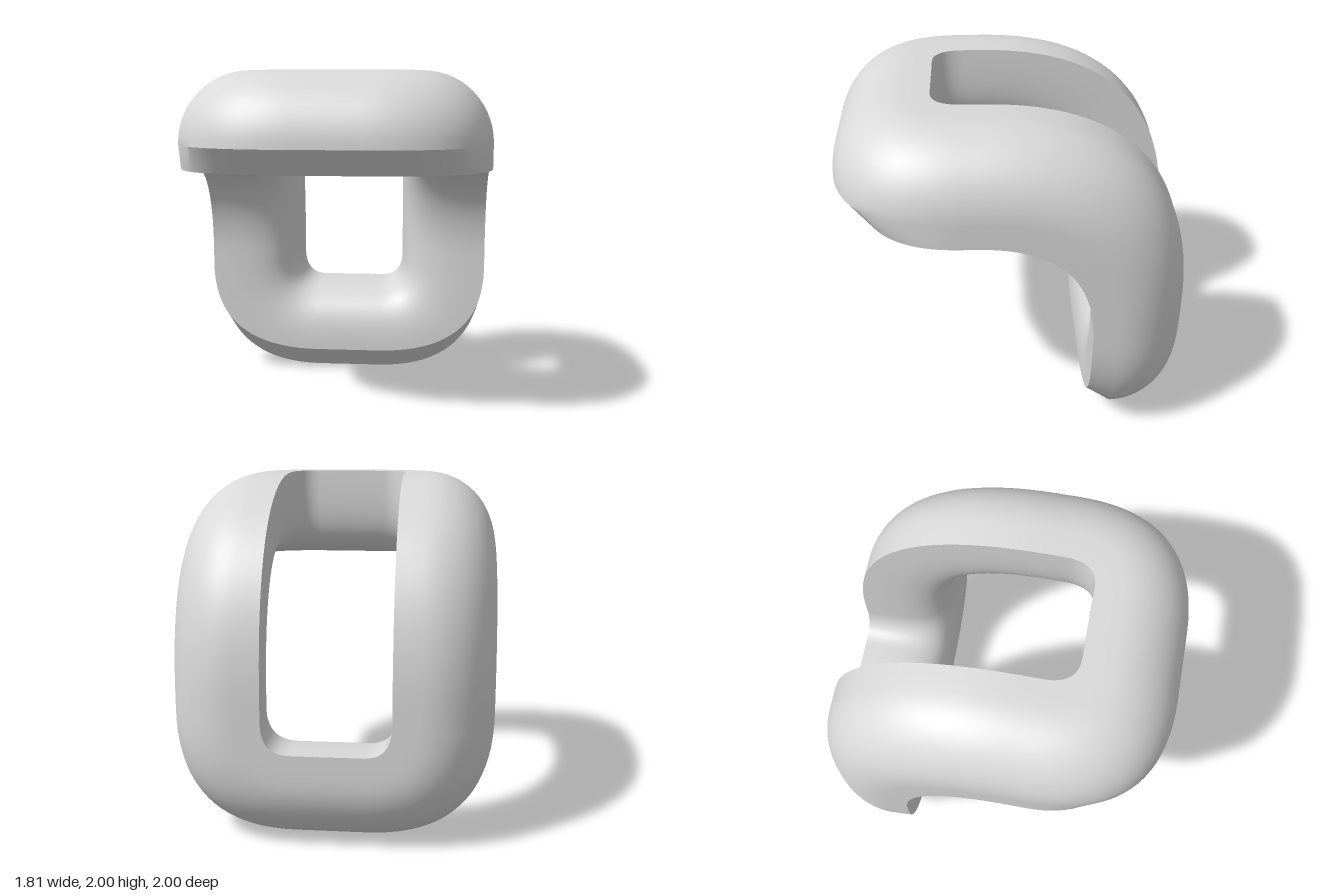
import * as THREE from 'three';
import { toCreasedNormals } from 'three/addons/utils/BufferGeometryUtils.js';

const lerp = THREE.MathUtils.lerp;
const quad = (a, b, c, t) => lerp(lerp(a, b, t), lerp(b, c, t), t);

// Cross-section of the loop: r runs from hole (0) to rim (1), w from outer face (0) to inner face (1)
function makeProfile() {
  const pts = [[0, 0], [0.13, 0]];
  const n = 14;
  for (let i = 0; i <= n; i++) { // large rounded outer rim
    const a = (i / n) * Math.PI / 2;
    pts.push([0.27 + 0.73 * Math.sin(a), 0.74 * (1 - Math.cos(a))]);
  }
  // Inner face rolls over softly into the hole wall: flat near both ends, tightest in the middle
  const ease = t => (t < 0.5 ? (4 / 3) * t ** 3 : 2 * t - 1 + (4 / 3) * (1 - t) ** 3);
  for (let i = 0; i < 24; i++) {
    const t = i / 24;
    pts.push([ease(1 - t), 1 - ease(t)]);
  }
  return pts;
}

function makeLoop() {
  const profile = makeProfile();
  const quarter = [];

  // Bent side arm, from the middle of the bend to the flat part
  for (let i = 0; i <= 16; i++) {
    const t = 0.5 + 0.5 * i / 16;
    const oz = quad(-1, -1, 0.15, t), oy = quad(0.85, 2, 2, t);
    const iz = quad(-0.44, -0.44, 0.2, t), iy = quad(0.8, 1.44, 1.44, t);
    quarter.push(profile.map(([r, w]) =>
      [lerp(0.353, 0.907, r), lerp(oy, iy, w), lerp(oz, iz, w)]));
  }

  // Rounded corner into the end bar; the lower rim tapers into a chamfer
  for (let i = 0; i <= 20; i++) {
    const t = i / 20;
    const hx = quad(0.353, 0.353, 0.2, t), hz = quad(0.26, 0.44, 0.44, t);
    const ex = quad(0.907, 0.907, 0.2, t);
    quarter.push(profile.map(([r, w]) => {
      const end = 1 - 0.14 * Math.max(0, (w - 0.74) / 0.26) * r;
      return [lerp(hx, ex, r), lerp(2, 1.44, w), lerp(hz, quad(0.28, end, end, t), r)];
    }));
  }

  // Mirror left/right and across the diagonal of the bend
  const flip = rings => rings.map(ring => ring.map(([x, y, z]) => [-x, y, z]));
  const swap = rings => rings.map(ring => ring.map(([x, y, z]) => [x, 1 - z, 1 - y]));
  const rings = [
    ...quarter,
    ...flip(quarter).reverse(),
    ...swap(flip(quarter)).slice(1),
    ...swap(quarter).reverse().slice(0, -1),
  ];

  const m = profile.length, n = rings.length, index = [];
  for (let k = 0; k < n; k++) {
    for (let j = 0; j < m; j++) {
      const k2 = (k + 1) % n, j2 = (j + 1) % m;
      const a = k * m + j, b = k2 * m + j, c = k2 * m + j2, d = k * m + j2;
      index.push(a, b, d, b, c, d);
    }
  }
  const geo = new THREE.BufferGeometry();
  geo.setAttribute('position', new THREE.Float32BufferAttribute(rings.flat(2), 3));
  geo.setIndex(index);
  return toCreasedNormals(geo, 0.5);
}

export function createModel() {
  const group = new THREE.Group();
  group.name = 'bentLink';
  const grey = new THREE.MeshStandardMaterial({ color: 0xd9d9d9 });
  grey.name = 'light grey';
  const loop = new THREE.Mesh(makeLoop(), grey);
  loop.name = 'bentLoop';
  group.add(loop);
  return group;
}
